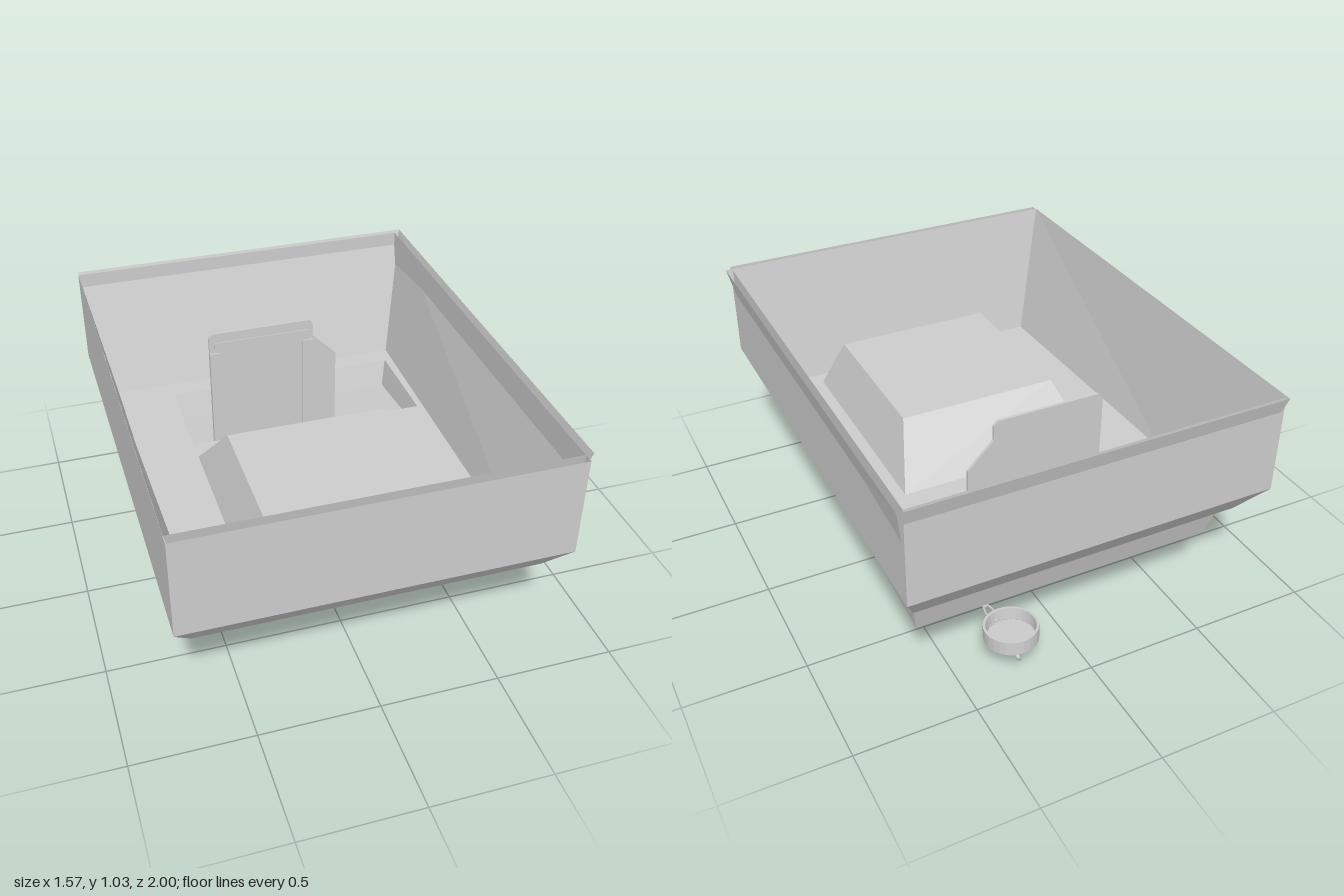
import * as THREE from 'three';

const material = new THREE.MeshStandardMaterial({ color: 0xcccccc, side: THREE.DoubleSide, flatShading: true });
const smooth = new THREE.MeshStandardMaterial({ color: 0xcccccc, side: THREE.DoubleSide });

function add(group, name, geometry, mat = material) {
  const mesh = new THREE.Mesh(geometry, mat);
  mesh.name = name;
  group.add(mesh);
  return mesh;
}

// Four corners of a level; the back and front edges may differ in height
function level(x0, x1, zBack, zFront, yBack, yFront = yBack) {
  return [[x0, yFront, zFront], [x1, yFront, zFront], [x1, yBack, zBack], [x0, yBack, zBack]];
}

// Walls between successive levels from bottom to top, with optional end faces
function loft(levels, capBottom, capTop) {
  const p = [];
  const quad = (a, b, c, d) => p.push(...a, ...b, ...c, ...a, ...c, ...d);
  for (let i = 0; i + 1 < levels.length; i++) {
    const lo = levels[i], hi = levels[i + 1];
    for (let k = 0; k < 4; k++) quad(lo[k], lo[(k + 1) % 4], hi[(k + 1) % 4], hi[k]);
  }
  const top = levels[levels.length - 1], bottom = levels[0];
  if (capBottom) quad(bottom[3], bottom[2], bottom[1], bottom[0]);
  if (capTop) quad(top[0], top[1], top[2], top[3]);
  const g = new THREE.BufferGeometry();
  g.setAttribute('position', new THREE.Float32BufferAttribute(p, 3));
  g.computeVertexNormals();
  return g;
}

function box(group, name, x0, x1, y0, y1, z0, z1) {
  const mesh = add(group, name, new THREE.BoxGeometry(x1 - x0, y1 - y0, z1 - z0));
  mesh.position.set((x0 + x1) / 2, (y0 + y1) / 2, (z0 + z1) / 2);
}

function polygon(points, Type = THREE.Shape) {
  return new Type(points.map(([x, y]) => new THREE.Vector2(x, y)));
}

function wire(group, name, points, radius, closed) {
  const curve = new THREE.CatmullRomCurve3(points.map((q) => new THREE.Vector3(...q)), closed);
  return add(group, name, new THREE.TubeGeometry(curve, 32, radius, 6, closed), smooth);
}

export function createModel() {
  const model = new THREE.Group();

  // Outer shell: straight walls with a chamfer towards the floor
  add(model, 'outerShell', loft([
    level(-0.705, 0.69, -0.87, 0.88, 0.46),
    level(-0.785, 0.755, -0.98, 1.0, 0.605),
    level(-0.785, 0.755, -0.98, 1.0, 1.025),
  ], false, false));

  // Inner liner: tapered walls and a sloping base that sinks at the back
  add(model, 'innerLiner', loft([
    level(-0.645, 0.645, -0.78, 0.84, 0.292, 0.45),
    level(-0.785, 0.785, -1.0, 0.965, 1.03),
  ], true, false));

  // Level floor with a rectangular slot
  const floorShape = polygon([[-0.705, -0.88], [0.69, -0.88], [0.69, 0.87], [-0.705, 0.87]]);
  floorShape.holes.push(polygon([[-0.43, 0.305], [-0.43, 0.735], [0.64, 0.735], [0.64, 0.305]], THREE.Path));
  const floor = add(model, 'floor', new THREE.ShapeGeometry(floorShape));
  floor.rotation.x = -Math.PI / 2;
  floor.position.y = 0.461;

  // Raised block with sloping sides
  add(model, 'raisedBlock', loft([
    level(-0.43, 0.44, -0.21, 0.775, 0.461),
    level(-0.34, 0.355, -0.01, 0.68, 0.69),
  ], false, true));

  // Upright plate that passes through the slot
  const plate = new THREE.Group();
  plate.name = 'uprightPlate';
  model.add(plate);
  const outline = polygon([
    [-0.3, 0], [0.19, 0], [0.29, 0.09], [0.29, 0.71], [0.18, 0.82],
    [0.18, 0.885], [0.16, 0.905], [-0.28, 0.905], [-0.3, 0.885],
  ]);
  const sheet = add(plate, 'plateSheet', new THREE.ExtrudeGeometry(outline, { depth: 0.012, bevelEnabled: false }));
  sheet.position.z = -0.491;
  box(plate, 'platePanel', -0.275, 0.165, 0.06, 0.86, -0.48, -0.475);
  box(plate, 'bottomLip', -0.3, 0.19, 0.035, 0.06, -0.48, -0.474);
  for (const x of [-0.3, 0.13]) box(plate, 'plateStrip', x, x + 0.05, 0.24, 0.81, -0.48, -0.468);

  // Cord looped around the plate edge, then links out to the ring
  const tether = new THREE.Group();
  tether.name = 'tether';
  model.add(tether);
  wire(tether, 'cordLoop', [
    [0.24, 0.15, -0.455], [0.3, 0.155, -0.45], [0.32, 0.145, -0.485], [0.28, 0.135, -0.51], [0.24, 0.14, -0.49],
  ], 0.007, true);
  for (const [z0, z1] of [[-0.5, -0.64], [-0.62, -0.73]]) {
    const m = (z0 + z1) / 2;
    wire(tether, 'link', [[0.285, 0.14, z0], [0.3, 0.135, m], [0.285, 0.14, z1], [0.27, 0.145, m]], 0.005, true);
  }

  // Shallow round cup at the end of the tether
  const cup = new THREE.Group();
  cup.name = 'roundCup';
  cup.position.set(0.265, 0.155, -0.82);
  cup.rotation.x = 0.06;
  tether.add(cup);
  const profile = [[0.094, -0.02], [0.1, -0.03], [0.11, -0.03], [0.11, 0.03], [0.1, 0.03], [0.094, -0.02]];
  add(cup, 'cupBand', new THREE.LatheGeometry(profile.map((q) => new THREE.Vector2(...q)), 28));
  const base = add(cup, 'cupBase', new THREE.CircleGeometry(0.1, 28));
  base.rotation.x = Math.PI / 2;
  base.position.y = -0.022;

  // Clip hanging below the cup
  wire(tether, 'clip', [
    [0.285, 0.122, -0.73], [0.285, 0.115, -0.88], [0.28, 0.1, -0.92], [0.275, 0.084, -0.9], [0.275, 0.105, -0.75],
  ], 0.008, false);

  return model;
}
